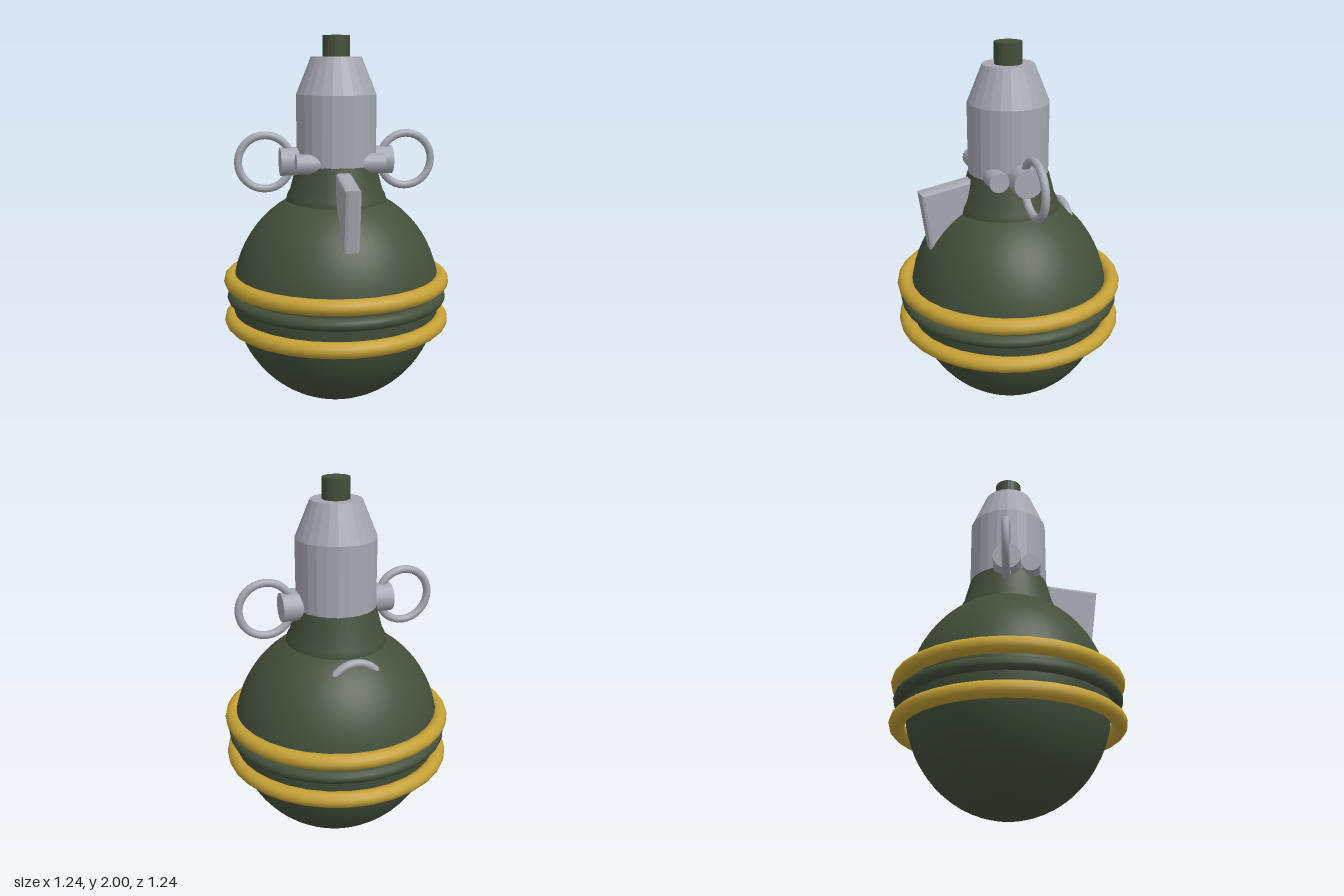
import * as THREE from 'three';

export function createModel() {
  const model = new THREE.Group();
  model.name = 'handGrenade';

  const mat = (name, color) => {
    const m = new THREE.MeshStandardMaterial({ color });
    m.name = name;
    return m;
  };
  const green = mat('olive green', 0x434f3b);
  const steel = mat('steel grey', 0xa4a7b1);
  const gold = mat('band yellow', 0xc4a035);

  const add = (name, geometry, material, x = 0, y = 0, z = 0) => {
    const mesh = new THREE.Mesh(geometry, material);
    mesh.name = name;
    mesh.position.set(x, y, z);
    model.add(mesh);
    return mesh;
  };
  // Faceted cylinder or cone between two heights
  const turned = (name, rTop, rBottom, y0, y1, material) =>
    add(name, new THREE.CylinderGeometry(rTop, rBottom, y1 - y0, 24).toNonIndexed(), material, 0, (y0 + y1) / 2)
      .geometry.computeVertexNormals();

  // Body, slightly narrower front to back
  const body = new THREE.SphereGeometry(1, 48, 32);
  body.scale(0.572, 0.6, 0.543);
  add('body', body, green, 0, 0.603, 0);

  // Bands around the middle
  const band = (name, r, tube, y, material) => {
    const g = new THREE.TorusGeometry(r, tube, 12, 32);
    g.rotateX(Math.PI / 2);
    add(name, g, material, 0, y, 0);
  };
  band('upperBand', 0.578, 0.042, 0.695, gold);
  band('middleBand', 0.57, 0.034, 0.604, green);
  band('lowerBand', 0.578, 0.042, 0.475, gold);

  // Flared neck
  const neck = [[0.28, 1.05], [0.276, 1.12], [0.266, 1.16], [0.25, 1.19], [0.215, 1.325]];
  add('neck', new THREE.LatheGeometry(neck.map(([r, y]) => new THREE.Vector2(r, y)), 32), green);

  // Fuse housing, shoulder and plunger
  turned('fuseHousing', 0.215, 0.215, 1.32, 1.695, steel);
  turned('fuseShoulder', 0.135, 0.215, 1.695, 1.89, steel);
  turned('plunger', 0.073, 0.073, 1.88, 2.0, green);

  // Side pegs and pull rings, mirrored
  const peg = (name, r, x0, x1, z, side) => {
    const g = new THREE.CylinderGeometry(r, r, x1 - x0, 16);
    g.rotateZ(Math.PI / 2);
    add(name, g, steel, side * (x0 + x1) / 2, 1.34, z);
  };
  const ring = () => new THREE.TorusGeometry(0.143, 0.021, 12, 32);
  for (const [label, side] of [['left', 1], ['right', -1]]) {
    peg(label + 'Peg', 0.077, 0.1, 0.305, 0, side);
    peg(label + 'SmallPeg', 0.053, 0.08, 0.235, 0.13, side);
    add(label + 'PullRing', ring(), steel, side * 0.385, 1.34, 0);
  }

  // Ring half sunk into the back of the body
  add('backRing', ring(), steel, 0, 0.967, -0.313);

  // Safety lever plate, drawn in (z, y) with softened edges
  const b = 0.018;
  const plate = new THREE.Shape([[0.235, 1.282], [0.474, 1.24], [0.434, 0.93], [0.23, 0.96]]
    .map(([z, y]) => new THREE.Vector2(z, y)));
  const lever = new THREE.ExtrudeGeometry(plate, {
    depth: 0.05, bevelEnabled: true, bevelThickness: b, bevelSize: b, bevelSegments: 2,
  });
  lever.translate(0, 0, -0.025);
  lever.rotateY(-Math.PI / 2);
  add('safetyLever', lever, steel);

  return model;
}
